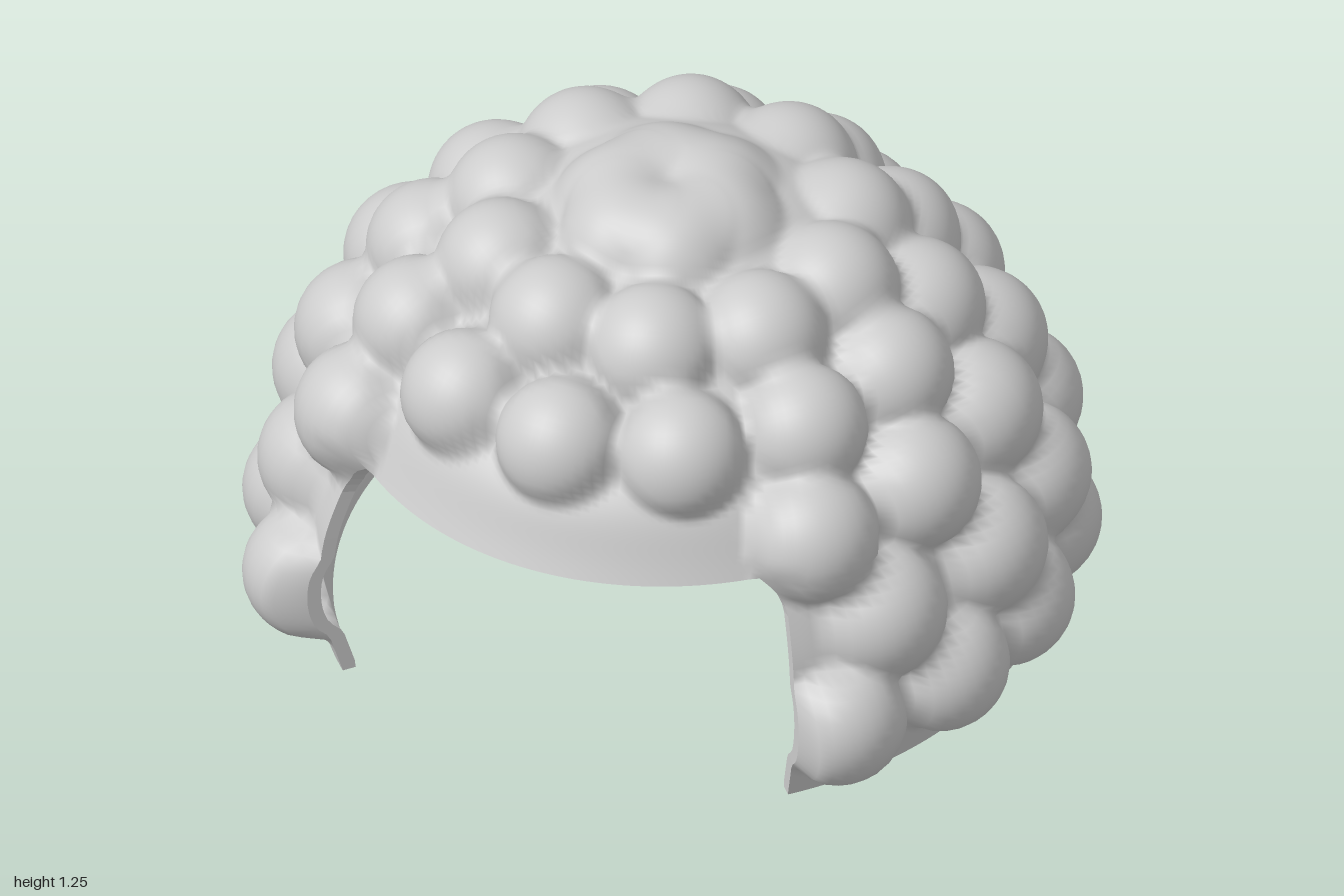
import * as THREE from 'three';

const COLS = 220, ROWS = 99, THICK = 0.035;
const RIM_ROW = 33, EDGE_COL = 26; // top and side of the front opening
const RAD = Math.PI / 180;
const EDGE_DEG = (EDGE_COL * 360) / COLS;
const SINK = 0.025; // how far each curl is set into the dome
const centre = new THREE.Vector3(0, 0.3, 0.03);

// Side profile of the smooth dome under the curls: half width, height
const profile = new THREE.SplineCurve([
  [0.84, 0], [0.89, 0.2], [0.885, 0.4], [0.8, 0.62], [0.725, 0.76],
  [0.625, 0.89], [0.485, 1.02], [0.31, 1.125], [0.16, 1.18], [0, 1.2],
].map(([x, y]) => new THREE.Vector2(x, y)));

// Round curls, each kept as its offset from the centre
const curls = [];
function addCurl(x, y, z, r) {
  const p = new THREE.Vector3(x, y, z).sub(centre);
  curls.push({ p: p.setLength(p.length() - SINK), r: r + SINK });
}

// A mirrored row of curls at the given angles from the front
function addRow(angles, y, r, rx, zFront, zBack, zc) {
  for (const deg of angles) {
    const s = Math.sin(deg * RAD), c = Math.cos(deg * RAD);
    const z = zc + c * (c > 0 ? zFront : zBack);
    addCurl(rx * s, y, z, r);
    if (Math.abs(s) > 0.01) addCurl(-rx * s, y, z, r);
  }
}

function buildCurls() {
  curls.length = 0;
  // Lowest row, from the back round to the front corner
  for (const [x, z] of [[0, -0.745], [0.32, -0.69], [0.59, -0.52], [0.79, -0.26],
    [0.86, 0.05], [0.825, 0.35], [0.69, 0.645]]) {
    addCurl(x, 0.225, z, 0.137);
    if (x) addCurl(-x, 0.225, z, 0.137);
  }
  addRow([59, 83, 105, 127, 148, 169], 0.45, 0.14, 0.84, 0.85, 0.76, 0.05);
  addRow([52, 75, 99, 122, 145, 168], 0.69, 0.138, 0.745, 0.82, 0.69, 0.07);
  addRow([0, 28, 57, 85, 112, 140, 167], 0.89, 0.13, 0.6, 0.62, 0.58, 0.1);
  addRow([18, 54, 90, 126, 162], 1.03, 0.13, 0.42, 0.41, 0.41, 0.08);
  addRow([30, 90, 150], 1.115, 0.122, 0.125, 0.13, 0.13, 0.1);
}

// Pushes a dome point outward to the curls, blending them softly
function surfacePoint(a, t) {
  const q = profile.getPoint(t);
  const c = Math.cos(a);
  const depth = c > 0 ? 1.1 + 0.05 * Math.exp(-(((q.y - 0.8) / 0.1) ** 2)) : 0.84;
  const dir = new THREE.Vector3(q.x * Math.sin(a), q.y, q.x * c * depth).sub(centre);
  const base = dir.length();
  dir.divideScalar(base);
  const k = 0.025;
  let sum = 1;
  for (const { p, r } of curls) {
    const along = p.dot(dir);
    const inside = r * r - p.lengthSq() + along * along;
    if (along <= 0 || inside <= 0) continue;
    const weight = Math.min(1, (3 * inside) / (r * r));
    sum += weight * Math.exp((along + Math.sqrt(inside) - base) / k);
  }
  // Curls die away at the sides of the opening so its edge stays clean
  const side = THREE.MathUtils.smoothstep(Math.abs(a) / RAD, EDGE_DEG - 1.5, EDGE_DEG + 2);
  const above = THREE.MathUtils.smoothstep(q.y, 0.5, 0.66);
  const fade = side + (1 - side) * above;
  return dir.multiplyScalar(base + fade * k * Math.log(sum)).add(centre);
}

// Angle of a column, drawn in near the upper corners of the opening to round them
function columnAngle(j, y) {
  let deg = (j * 360) / COLS;
  if (deg > 180) deg -= 360;
  const q = y < 0.62 ? Math.max(0, (y - 0.52) / 0.1) ** 2 : Math.max(0, 1 - (y - 0.62) / 0.2);
  const w = Math.exp(-(((Math.abs(deg) - EDGE_DEG) / 12) ** 2));
  return (deg - Math.sign(deg) * 4 * q * w) * RAD;
}

function makeGeometry(points, index) {
  const g = new THREE.BufferGeometry();
  g.setAttribute('position', new THREE.Float32BufferAttribute(points, 3));
  g.setIndex(index);
  g.computeVertexNormals();
  return g;
}

export function createModel() {
  buildCurls();
  const points = [], innerPoints = [], index = [], ids = new Map();
  // Adds a point of the outer skin and its partner on the inner skin
  const vertex = (i, j) => {
    const key = i === ROWS ? -1 : i * COLS + (j % COLS);
    if (!ids.has(key)) {
      ids.set(key, points.length / 3);
      const t = i / ROWS;
      const p = surfacePoint(columnAngle(j % COLS, profile.getPoint(t).y), t);
      const inward = centre.clone().sub(p).setLength(THICK).add(p);
      points.push(p.x, p.y, p.z);
      innerPoints.push(inward.x, i === 0 ? p.y : inward.y, inward.z);
    }
    return ids.get(key);
  };

  // Outer skin, leaving the opening at the front
  for (let i = 0; i < ROWS; i++) {
    for (let j = 0; j < COLS; j++) {
      if (i < RIM_ROW && (j < EDGE_COL || j >= COLS - EDGE_COL)) continue;
      const a = vertex(i, j), b = vertex(i, j + 1), d = vertex(i + 1, j);
      index.push(a, b, d);
      if (i < ROWS - 1) index.push(b, vertex(i + 1, j + 1), d);
    }
  }
  const outer = makeGeometry(points, index);

  // Inner skin faces the other way
  const innerIndex = [];
  for (let k = 0; k < index.length; k += 3) innerIndex.push(index[k], index[k + 2], index[k + 1]);
  const inner = makeGeometry(innerPoints, innerIndex);

  // Rim closes every open edge between the two skins
  const edges = new Set();
  const count = points.length / 3;
  for (let k = 0; k < index.length; k++) {
    const a = index[k], b = index[k % 3 === 2 ? k - 2 : k + 1];
    if (!edges.delete(b * count + a)) edges.add(a * count + b);
  }
  const rimPoints = [], rimIndex = [];
  for (const e of edges) {
    const a = Math.floor(e / count), b = e % count, s = rimPoints.length / 3;
    rimPoints.push(...points.slice(a * 3, a * 3 + 3), ...points.slice(b * 3, b * 3 + 3),
      ...innerPoints.slice(a * 3, a * 3 + 3), ...innerPoints.slice(b * 3, b * 3 + 3));
    rimIndex.push(s + 1, s, s + 2, s + 1, s + 2, s + 3);
  }
  const rim = makeGeometry(rimPoints, rimIndex);

  const grey = new THREE.MeshStandardMaterial({ color: 0xcccccc });
  grey.name = 'light grey';
  const group = new THREE.Group();
  group.name = 'curlyHair';
  for (const [name, geometry] of [['outerCurls', outer], ['innerLining', inner], ['rim', rim]]) {
    const mesh = new THREE.Mesh(geometry, grey);
    mesh.name = name;
    group.add(mesh);
  }
  return group;
}
